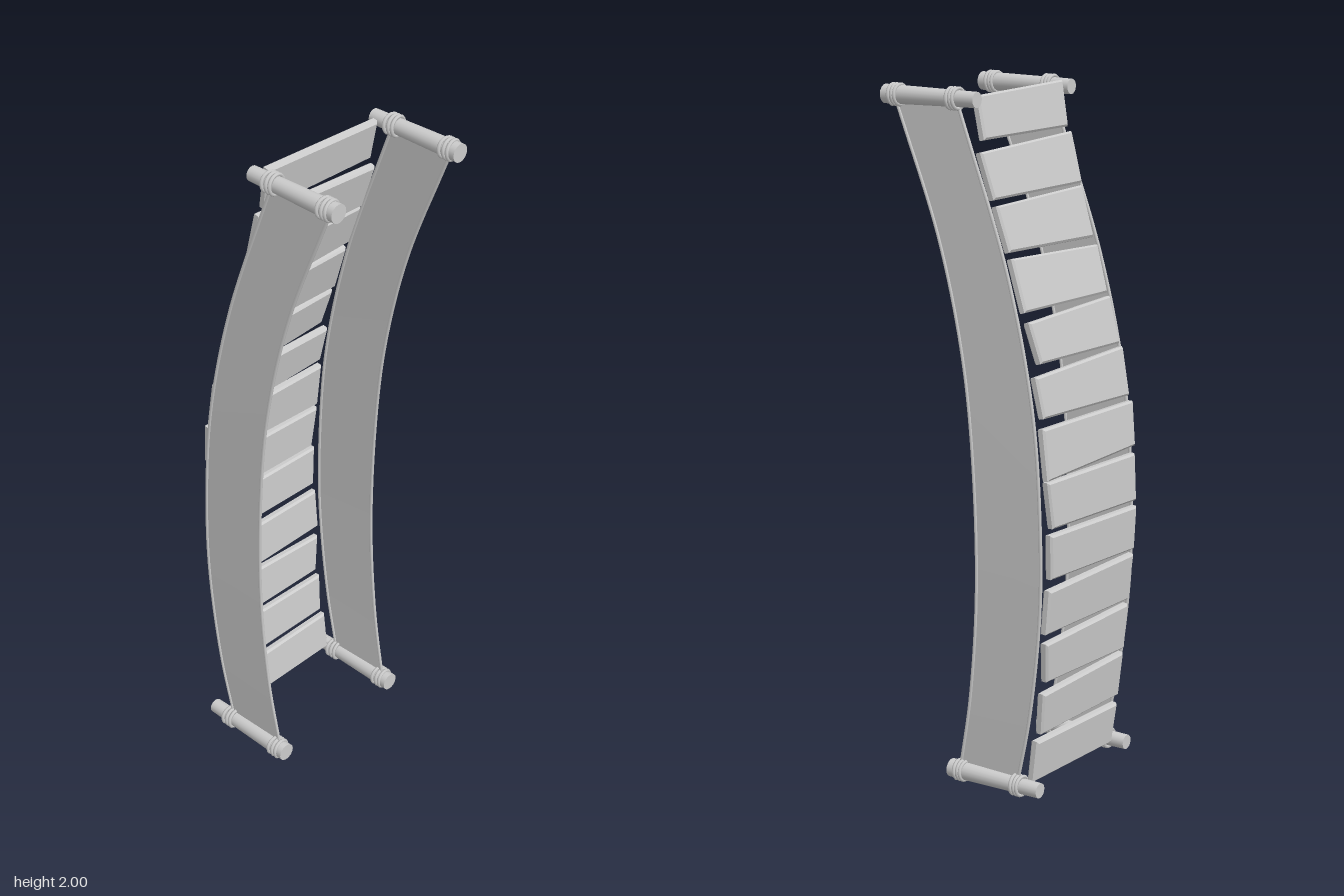
import * as THREE from 'three';

const mat = new THREE.MeshStandardMaterial({ color: 0xcccccc });
const flatMat = new THREE.MeshStandardMaterial({ color: 0xcccccc, flatShading: true });
const sheetMat = new THREE.MeshStandardMaterial({ color: 0xcccccc, side: THREE.DoubleSide });

// Edge curves of the side panels in the z/y plane, from bottom to top
const curve = (pts) => new THREE.CatmullRomCurve3(pts.map(([z, y]) => new THREE.Vector3(0, y, z)));
const frontEdge = curve([[0.04, 0.04], [0.0, 0.27], [-0.025, 0.6], [-0.012, 1.0], [0.022, 1.27], [0.1, 1.58], [0.25, 1.96]]);
const backEdge = curve([[-0.16, 0.04], [-0.205, 0.25], [-0.24, 0.55], [-0.242, 0.8], [-0.215, 1.13], [-0.13, 1.5], [0.04, 1.96]]);
const bulge = (t) => 0.226 + 0.009 * Math.sin(Math.PI * t);

// Planks, bottom to top: xLeft, xRight, yTop/yBottom at xLeft, yTop/yBottom at xRight, z, yaw
const PLANKS = [
  [-0.21, 0.21, 0.16, 0.035, 0.17, 0.045, -0.2, 0],
  [-0.215, 0.207, 0.32, 0.185, 0.315, 0.19, -0.218, 0.01],
  [-0.21, 0.207, 0.475, 0.335, 0.465, 0.345, -0.232, -0.01],
  [-0.228, 0.215, 0.625, 0.485, 0.625, 0.495, -0.243, 0.01],
  [-0.215, 0.215, 0.775, 0.645, 0.785, 0.655, -0.257, -0.02],
  [-0.217, 0.217, 0.93, 0.79, 0.935, 0.8, -0.253, -0.02],
  [-0.232, 0.225, 1.08, 0.95, 1.085, 0.94, -0.243, 0],
  [-0.232, 0.225, 1.235, 1.095, 1.225, 1.11, -0.217, 0.02],
  [-0.227, 0.215, 1.38, 1.245, 1.37, 1.255, -0.185, 0.05],
  [-0.212, 0.207, 1.525, 1.39, 1.54, 1.395, -0.142, 0],
  [-0.222, 0.22, 1.69, 1.545, 1.68, 1.555, -0.09, 0.03],
  [-0.22, 0.223, 1.84, 1.695, 1.825, 1.695, -0.045, -0.01],
  [-0.21, 0.205, 1.985, 1.855, 1.975, 1.855, -0.015, 0],
];

function add(parent, name, geometry, material = mat) {
  const mesh = new THREE.Mesh(geometry, material);
  mesh.name = name;
  parent.add(mesh);
  return mesh;
}

// Uneven board with bevelled rims, leaning along the curve of the bridge
function makePlank(parent, row, i) {
  const [xl, xr, ylt, ylb, yrt, yrb, z, yaw] = row;
  const a = PLANKS[Math.max(i - 1, 0)], b = PLANKS[Math.min(i + 1, PLANKS.length - 1)];
  const tilt = Math.atan2(b[6] - a[6], b[2] - a[2]);
  const yc = (ylt + ylb + yrt + yrb) / 4;
  const bevel = 0.006, inset = 0.008 * (i % 3);
  const v = (x, y) => new THREE.Vector2(x, (y - yc) / Math.cos(tilt));
  const shape = new THREE.Shape([
    v(xl + bevel + 0.008 - inset / 2, ylb + bevel), v(xr - bevel - inset, yrb + bevel),
    v(xr - bevel, yrt - bevel), v(xl + bevel, ylt - bevel),
  ]);
  const geo = new THREE.ExtrudeGeometry(shape, {
    depth: 0.014, bevelEnabled: true, bevelSize: bevel, bevelThickness: bevel, bevelSegments: 1,
  }).translate(0, 0, -0.007);
  const plank = add(parent, 'plank', geo, flatMat);
  plank.rotation.set(tilt, yaw, 0);
  plank.position.set(0, yc, z);
}

// Thin sheet spanning from the front edge to the back edge
function makePanel(parent, side) {
  const geo = new THREE.PlaneGeometry(1, 1, 1, 40);
  const pos = geo.attributes.position;
  for (let i = 0; i < pos.count; i++) {
    const t = pos.getY(i) + 0.5;
    const p = (pos.getX(i) < 0 ? frontEdge : backEdge).getPoint(t);
    pos.setXYZ(i, side * bulge(t), p.y, p.z);
  }
  geo.computeVertexNormals();
  add(parent, 'sidePanel', geo, sheetMat);
}

// Rope following one edge of a panel
function makeRope(parent, edge, side) {
  const pts = [];
  for (let i = 0; i <= 20; i++) {
    const p = edge.getPoint(i / 20);
    pts.push(new THREE.Vector3(side * bulge(i / 20), p.y, p.z));
  }
  add(parent, 'edgeRope', new THREE.TubeGeometry(new THREE.CatmullRomCurve3(pts), 60, 0.005, 6));
}

// Post lying along z, with two rope wrappings
function makePost(parent, x, y, zBack, wraps) {
  const post = new THREE.Group();
  post.name = 'post';
  post.position.set(x, y, 0);
  parent.add(post);
  const geo = new THREE.CylinderGeometry(0.027, 0.022, 0.31, 16).rotateX(Math.PI / 2);
  add(post, 'postShaft', geo).position.z = zBack + 0.155;
  for (const z of wraps) {
    for (let k = -1; k <= 1; k++) {
      const ring = add(post, 'ropeWrap', new THREE.TorusGeometry(0.0275, 0.0055, 6, 20));
      ring.position.z = z + k * 0.0125;
      ring.rotation.y = 0.08 * (k || 0.5);
    }
  }
}

export function createModel() {
  const bridge = new THREE.Group();
  bridge.name = 'ropeBridge';
  PLANKS.forEach((row, i) => makePlank(bridge, row, i));
  for (const side of [-1, 1]) {
    makePanel(bridge, side);
    makeRope(bridge, frontEdge, side);
    makeRope(bridge, backEdge, side);
    makePost(bridge, side * 0.229, 0.034, -0.24, [-0.165, 0.033]);
    makePost(bridge, side * 0.229, 1.967, -0.03, [0.045, 0.242]);
  }
  return bridge;
}
